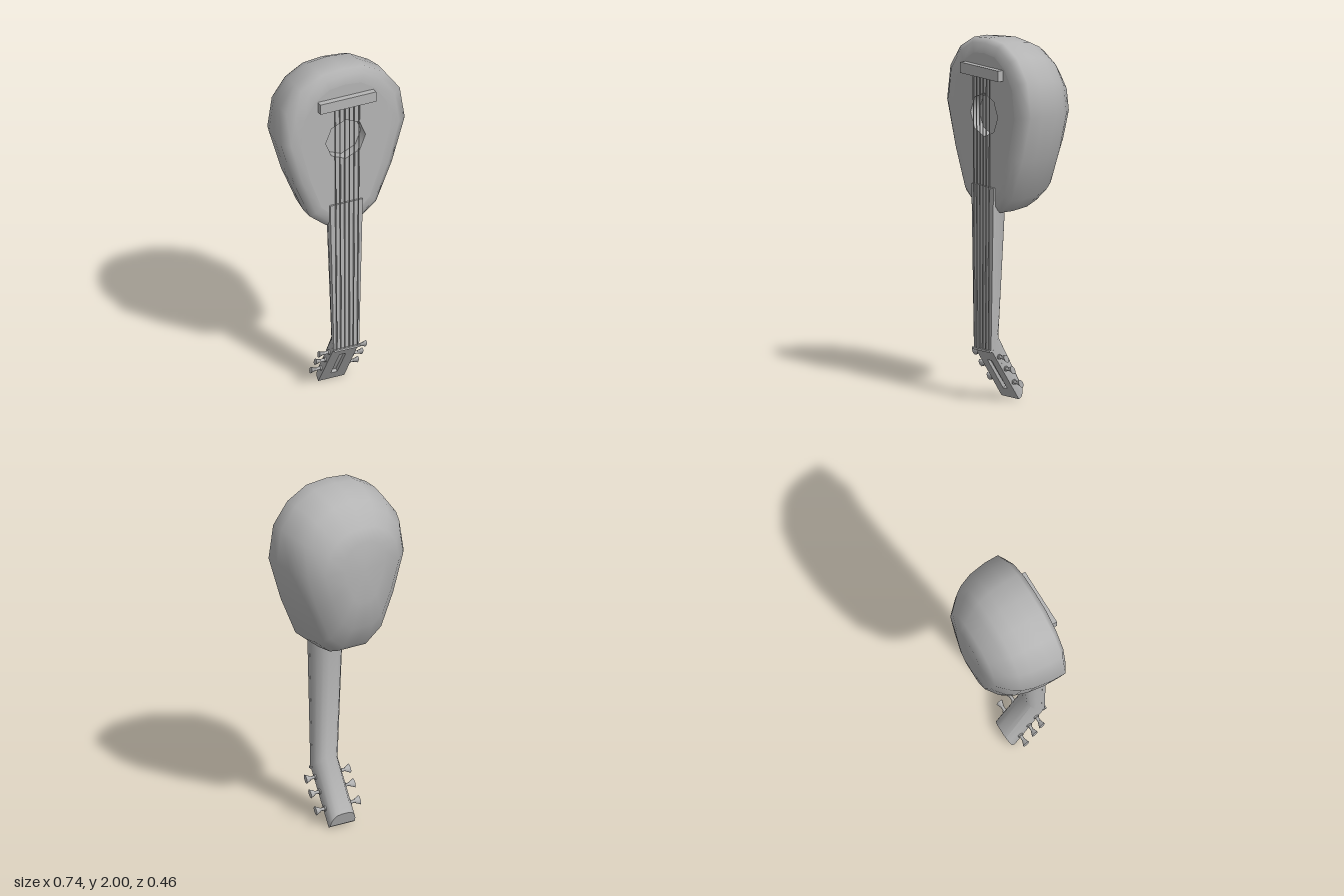
import * as THREE from 'three';
import { toCreasedNormals } from 'three/addons/utils/BufferGeometryUtils.js';

const grey = new THREE.MeshStandardMaterial({ color: 0xb4b4b4, side: THREE.DoubleSide });
grey.name = 'plain grey';

function add(parent, name, geometry) {
  const mesh = new THREE.Mesh(geometry, grey);
  mesh.name = name;
  parent.add(mesh);
  return mesh;
}

// Skin through closed rings of [x, y, z], optionally capped at either end
function loft(rings, capStart, capEnd) {
  const n = rings[0].length;
  const pos = rings.flat(2);
  const index = [];
  for (let i = 0; i < rings.length - 1; i++) {
    for (let j = 0; j < n; j++) {
      const a = i * n + j, b = i * n + (j + 1) % n;
      index.push(a, a + n, b, b, a + n, b + n);
    }
  }
  const cap = (ring, base, start) => {
    const centre = pos.length / 3;
    for (let k = 0; k < 3; k++) pos.push(ring.reduce((s, p) => s + p[k], 0) / n);
    for (let j = 0; j < n; j++) {
      const a = base + j, b = base + (j + 1) % n;
      if (start) index.push(centre, a, b); else index.push(centre, b, a);
    }
  };
  if (capStart) cap(rings[0], 0, true);
  if (capEnd) cap(rings[rings.length - 1], (rings.length - 1) * n, false);
  const g = new THREE.BufferGeometry();
  g.setAttribute('position', new THREE.Float32BufferAttribute(pos, 3));
  g.setIndex(index);
  g.computeVertexNormals();
  return g;
}

export function createModel() {
  const model = new THREE.Group();
  model.name = 'bowl-backed lute';

  // Bowl: one pear outline, scaled to a width and height range at each depth
  const half = [[0.1, 1.05], [0.2, 1.13], [0.295, 1.355], [0.372, 1.61], [0.342, 1.8], [0.252, 1.92], [0.13, 1.988]];
  const outline = [[0, 1.05], ...half, [0, 2], ...half.slice().reverse().map(([x, y]) => [-x, y])];
  const depths = [ // z, half width, lowest y, highest y
    [0.199, 0.27, 1.12, 1.92], [0.194, 0.325, 1.08, 1.975], [0.165, 0.372, 1.05, 2],
    [0.08, 0.372, 1.05, 2], [-0.02, 0.357, 1.062, 1.985], [-0.09, 0.332, 1.09, 1.95],
    [-0.13, 0.305, 1.125, 1.92], [-0.2, 0.235, 1.25, 1.835], [-0.228, 0.13, 1.41, 1.76],
  ];
  const rings = depths.map(([z, w, lo, hi]) =>
    outline.map(([x, y]) => [x * w / 0.372, lo + (y - 1.05) / 0.95 * (hi - lo), z]));
  add(model, 'bowl', loft(rings, false, true));

  // Soundboard with an eight-sided sound hole
  const board = new THREE.Shape(rings[0].map(([x, y]) => new THREE.Vector2(x, y)));
  const hole = [];
  for (let i = 0; i < 8; i++) {
    const a = i * Math.PI / 4;
    hole.push(new THREE.Vector2(0.12 * Math.sin(a), 1.58 + 0.12 * Math.cos(a)));
  }
  board.holes.push(new THREE.Path(hole));
  add(model, 'soundboard', new THREE.ShapeGeometry(board)).position.z = 0.199;
  const wall = add(model, 'soundHoleWall', new THREE.CylinderGeometry(0.12, 0.12, 0.06, 8, 1, true));
  wall.rotation.x = Math.PI / 2;
  wall.position.set(0, 1.58, 0.169);
  add(model, 'soundHoleFloor', new THREE.ShapeGeometry(new THREE.Shape(hole))).position.z = 0.14;

  // Neck and bent-back head: flat front, rounded back
  const section = [[1, 0], [1, 0.3], [0.88, 0.62], [0.62, 0.9], [0.3, 1]];
  const profile = [...section, ...section.slice().reverse().map(([x, t]) => [-x, t])];
  const stations = [ // half width, front y, front z, back y, back z
    [0.098, 1.19, 0.21, 1.19, 0.085], [0.094, 1.05, 0.21, 1.05, 0.09],
    [0.076, 0.285, 0.208, 0.36, 0.13], [0.078, 0.011, 0.003, 0.08, -0.02],
  ];
  const neckRings = stations.map(([w, fy, fz, by, bz]) =>
    profile.map(([x, t]) => [x * w, fy + (by - fy) * t, fz + (bz - fz) * t]));
  // Leave room under the slotted face plate
  neckRings[2].forEach((p, i) => { if (profile[i][1] === 0) { p[1] = 0.292; p[2] = 0.19; } });
  add(model, 'neck', toCreasedNormals(loft(neckRings, true, true), 0.75));
  const fingerboard = add(model, 'fingerboard', new THREE.BoxGeometry(1, 0.905, 0.02));
  fingerboard.position.set(0, 0.7375, 0.2);
  const fp = fingerboard.geometry.attributes.position;
  for (let i = 0; i < fp.count; i++) {
    fp.setX(i, Math.sign(fp.getX(i)) * (fp.getY(i) > 0 ? 0.098 : 0.076));
  }

  // Head, in its own tilted frame
  const head = new THREE.Group();
  head.name = 'head';
  const tilt = Math.atan2(0.18, 0.28);
  head.position.set(0, 0.28, 0.2);
  head.rotation.x = tilt;
  model.add(head);
  const plate = new THREE.Shape([[-0.078, -0.333], [0.078, -0.333], [0.076, 0], [-0.076, 0]]
    .map(([x, y]) => new THREE.Vector2(x, y)));
  plate.holes.push(new THREE.Path([[-0.019, -0.27], [-0.019, -0.07], [0.019, -0.07], [0.019, -0.27]]
    .map(([x, y]) => new THREE.Vector2(x, y))));
  add(head, 'slottedFace', new THREE.ExtrudeGeometry(plate, { depth: 0.02, bevelEnabled: false })).position.z = -0.02;

  // Tuning pegs, three a side, with flattened flared buttons
  for (const side of [1, -1]) {
    for (const [y, z] of [[0.25, 0.155], [0.18, 0.11], [0.1, 0.055]]) {
      const peg = new THREE.Group();
      peg.name = side > 0 ? 'leftPeg' : 'rightPeg';
      peg.position.set(side * 0.07, y, z);
      peg.rotation.set(tilt, 0, -side * Math.PI / 2, 'XYZ');
      add(peg, 'pegShaft', new THREE.CylinderGeometry(0.009, 0.009, 0.06, 8)).position.y = 0.025;
      add(peg, 'pegCollar', new THREE.CylinderGeometry(0.015, 0.015, 0.008, 8)).position.y = 0.012;
      const button = add(peg, 'pegButton', new THREE.CylinderGeometry(0.026, 0.012, 0.03, 8));
      button.position.y = 0.056;
      button.scale.z = 0.55;
      model.add(peg);
    }
  }

  // Nut and bridge
  add(model, 'nut', new THREE.BoxGeometry(0.154, 0.012, 0.03)).position.set(0, 0.285, 0.207);
  add(model, 'bridge', new THREE.BoxGeometry(0.336, 0.06, 0.04)).position.set(0, 1.82, 0.213);

  // Six strings, fanning slightly from nut to bridge
  for (let i = 0; i < 6; i++) {
    const t = (i - 2.5) / 2.5;
    const path = new THREE.LineCurve3(
      new THREE.Vector3(t * 0.062, 0.285, 0.217), new THREE.Vector3(t * 0.073, 1.8, 0.217));
    add(model, 'string', new THREE.TubeGeometry(path, 1, 0.0035, 6));
  }
  return model;
}
